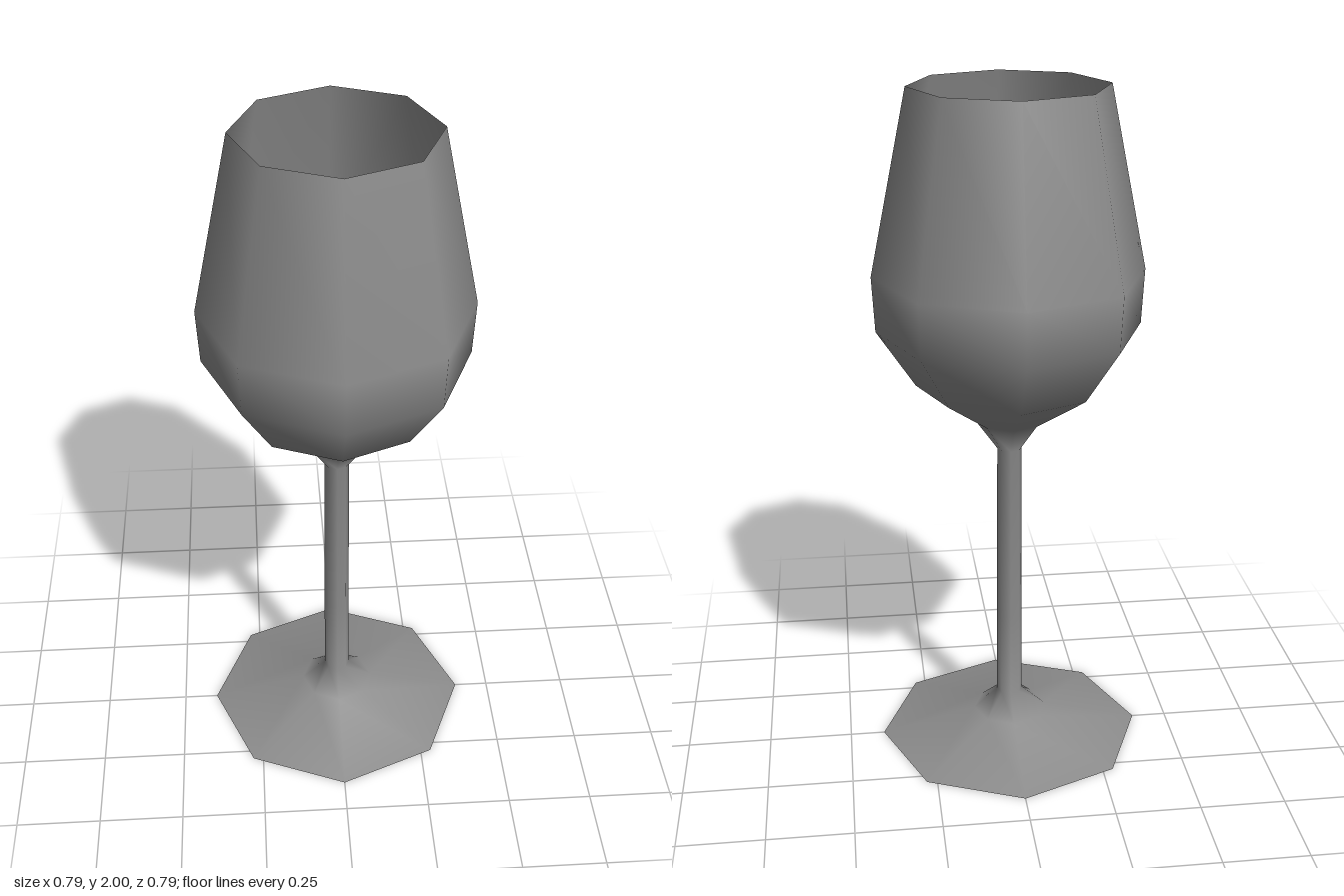
import * as THREE from 'three';

const SIDES = 8;
const FOOT_RADIUS = 0.397;

export function createModel() {
  const model = new THREE.Group();
  model.name = 'wineGlass';

  const glass = new THREE.MeshStandardMaterial({ color: 0x8c8c8c, side: THREE.DoubleSide });
  glass.name = 'grey glass';

  // Foot, stem and open bowl as one smooth thin wall: [radius, height]
  const profile = [
    [FOOT_RADIUS, 0], [0.11, 0.072], [0.039, 0.135], // foot
    [0.038, 0.4], [0.036, 0.95], // stem
    [0.1, 1.04], [0.27, 1.155], [0.38, 1.32], [0.388, 1.48], [0.28, 2], // bowl
  ].map(([r, y]) => new THREE.Vector2(r, y));
  const body = new THREE.Mesh(new THREE.LatheGeometry(profile, SIDES), glass);
  body.name = 'footStemAndBowl';
  model.add(body);

  // Flat underside of the foot
  const underside = new THREE.Mesh(new THREE.CircleGeometry(FOOT_RADIUS, SIDES), glass);
  underside.name = 'footUnderside';
  underside.rotation.x = Math.PI / 2;
  model.add(underside);

  return model;
}
